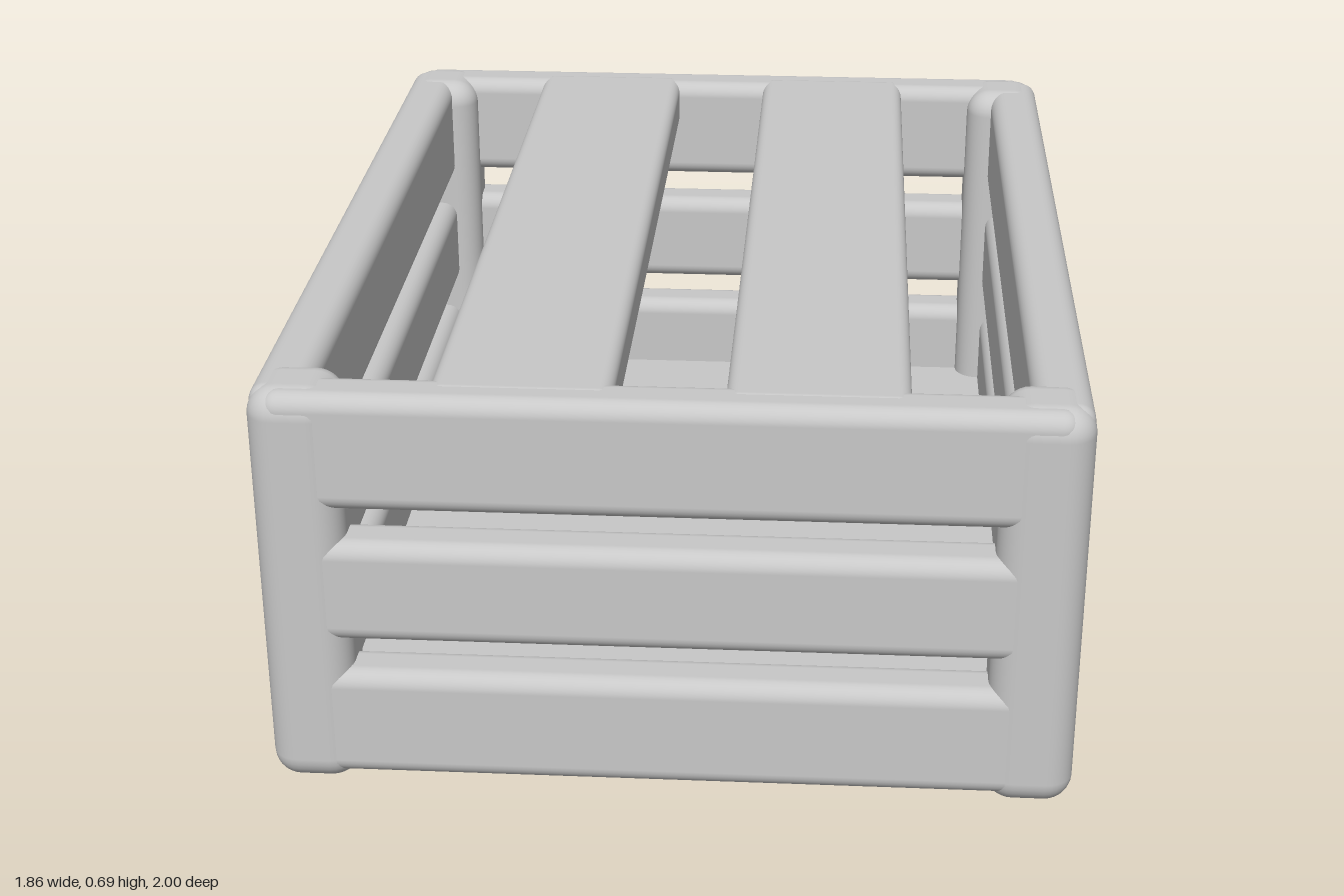
import * as THREE from 'three';
import { RoundedBoxGeometry } from 'three/addons/geometries/RoundedBoxGeometry.js';

export function createModel() {
  const model = new THREE.Group();
  model.name = 'slattedCrate';
  const grey = new THREE.MeshStandardMaterial({ color: 0xc8c8c8 });
  grey.name = 'plain grey';

  const W = 1.28, L = 1.615, H = 0.69; // outer width, length, height
  const wall = 0.092, post = 0.14;

  // rounded board given by its size and centre
  function board(name, w, h, d, x, y, z, r) {
    const mesh = new THREE.Mesh(new RoundedBoxGeometry(w, h, d, 4, r), grey);
    mesh.name = name;
    mesh.position.set(x, y, z);
    model.add(mesh);
  }

  // corner posts, which also form the feet
  for (const sx of [-1, 1]) {
    for (const sz of [-1, 1]) {
      board('cornerPost', post, H, post,
        sx * (W - post) / 2, H / 2, sz * (L - post) / 2, 0.045);
    }
  }

  // three rows of slats around the walls: [bottom, top]
  for (const [y0, y1] of [[0.018, 0.207], [0.262, 0.437], [0.492, 0.688]]) {
    const h = y1 - y0, y = (y0 + y1) / 2;
    for (const s of [-1, 1]) {
      board('sideSlat', wall, h, L - 0.05, s * ((W - wall) / 2 - 0.002), y, 0, 0.028);
      board('endSlat', W - 0.05, h, wall, 0, y, s * ((L - wall) / 2 - 0.002), 0.028);
    }
  }

  // two lid planks, flush with the rim
  for (const s of [-1, 1]) {
    board('lidPlank', 0.28, 0.09, L - 0.08, s * 0.225, 0.644, 0, 0.02);
  }

  // solid floor panel
  board('floorPanel', W - 0.07, 0.06, L - 0.07, 0, 0.04, 0, 0.008);

  // the crate stands turned on the ground
  model.rotation.y = THREE.MathUtils.degToRad(-28);
  const root = new THREE.Group();
  root.name = 'crate';
  root.add(model);
  return root;
}
